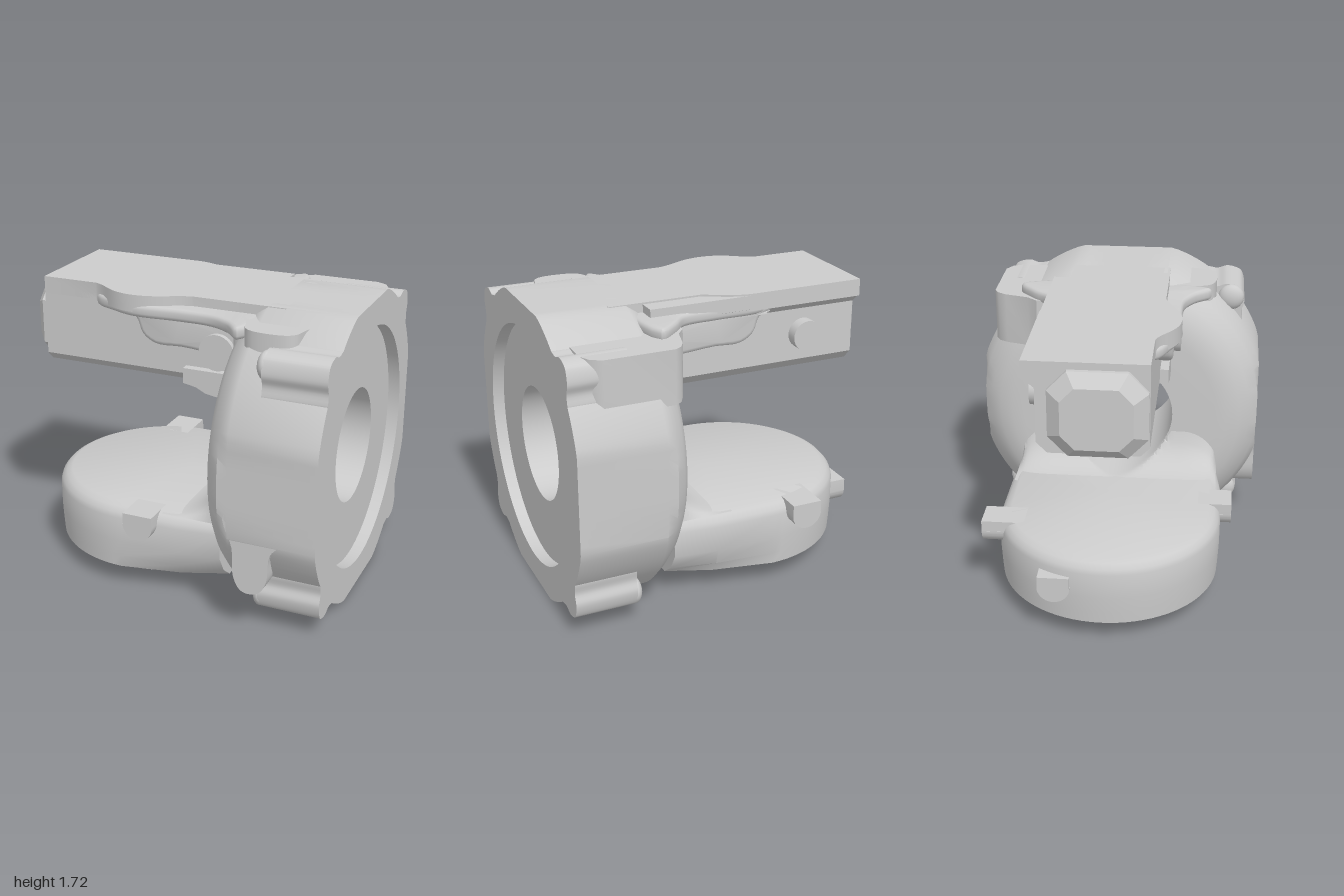
import * as THREE from 'three';
import { toCreasedNormals } from 'three/addons/utils/BufferGeometryUtils.js';

const CY = 0.86; // height of the bore axis
const mat = new THREE.MeshStandardMaterial({ color: 0xcccccc });
const openMat = new THREE.MeshStandardMaterial({ color: 0xcccccc, side: THREE.DoubleSide });

// Skin a list of equal-length closed rings of [x, y, z]
function loft(rings) {
  const n = rings[0].length, pos = rings.flat(2), idx = [];
  for (let j = 0; j < rings.length - 1; j++) {
    for (let i = 0; i < n; i++) {
      const a = j * n + i, b = j * n + (i + 1) % n;
      idx.push(a, a + n, b, b, a + n, b + n);
    }
  }
  const g = new THREE.BufferGeometry();
  g.setAttribute('position', new THREE.Float32BufferAttribute(pos, 3));
  g.setIndex(idx);
  return g;
}

const poly = (pts) => new THREE.Shape(pts.map(([x, y]) => new THREE.Vector2(x, y)));
const smooth = (pts) => new THREE.Shape(
  new THREE.CatmullRomCurve3(pts.map(([x, y]) => new THREE.Vector3(x, y, 0)), true)
    .getPoints(pts.length * 5).slice(0, -1).map((p) => new THREE.Vector2(p.x, p.y)));

const extrude = (shape, depth, bevel = 0) => new THREE.ExtrudeGeometry(shape, {
  depth: depth - 2 * bevel, bevelEnabled: bevel > 0, bevelSize: bevel, bevelThickness: bevel,
  bevelOffset: -bevel, bevelSegments: 3, curveSegments: 20,
}).translate(0, 0, bevel);
// outline in (x, -z), raised from y0 to y1
const plan = (shape, y0, y1, bevel) => extrude(shape, y1 - y0, bevel).rotateX(-Math.PI / 2).translate(0, y0, 0);
// outline in (-z, y), run from x0 to x1
const along = (shape, x0, x1, bevel) => extrude(shape, x1 - x0, bevel).rotateY(Math.PI / 2).translate(x0, 0, 0);

export function createModel() {
  const group = new THREE.Group();
  const add = (name, geo, material = mat, crease = 0.6) => {
    const m = new THREE.Mesh(toCreasedNormals(geo, crease), material);
    m.name = name;
    group.add(m);
    return m;
  };

  // Housing: turned profile clipped to a square, with recess and through bore
  const profile = [[0.31, 0.335], [0.31, 0.6], [0.315, 0.67], [0.34, 0.75], [0.38, 0.81], [0.44, 0.867],
    [0.5, 0.907], [1, 0.907], [1, 0.705], [0.93, 0.705], [0.93, 0.335], [0.31, 0.335]];
  add('housing', loft(profile.map(([x, r]) => Array.from({ length: 120 }, (_, i) => {
    const t = i / 120 * Math.PI * 2, c = Math.cos(t), s = Math.sin(t);
    const q = Math.min(r, 0.86 / Math.max(Math.abs(c), Math.abs(s)));
    return [x, CY + q * s, q * c];
  }))));

  // Four bolt lobes with filleted roots
  const lobe = [[0.74, 0.5], [0.735, 0.58], [0.753, 0.64], [0.735, 0.715], [0.715, 0.735],
    [0.64, 0.753], [0.58, 0.735], [0.5, 0.74], [0.56, 0.56]];
  for (const sz of [-1, 1]) {
    for (const sy of [-1, 1]) {
      const s = smooth(lobe.map(([a, b]) => [a * sz, CY + b * sy]));
      add('boltLobe', along(s, 0.64, 1, 0).translate(0, 0, 0));
      const tip = new THREE.SphereGeometry(0.08, 20, 12).scale(0.6, 1, 1);
      add('boltLobeTip', tip.translate(0.64, CY + 0.67 * sy, 0.67 * sz));
    }
  }

  // Front tab hanging from the flat side
  add('frontTab', extrude(smooth([[0.48, 0.72], [0.53, 0.53], [0.54, 0.36], [0.58, 0.285], [0.63, 0.27],
    [0.69, 0.29], [0.73, 0.36], [0.75, 0.53], [0.82, 0.62], [0.82, 0.75]]), 0.35).translate(0, 0, 0.509));

  // Mounting pads on the shoulders
  add('frontPad', plan(smooth([[0.33, -0.28], [0.33, -0.37], [0.42, -0.42], [0.46, -0.53], [0.52, -0.57],
    [0.7, -0.57], [0.75, -0.53], [0.78, -0.42], [0.83, -0.38], [0.83, -0.28]]), 1.4, 1.665));
  add('backPad', plan(poly([[0.25, 0.42], [0.25, 0.49], [0.3, 0.55], [0.34, 0.69], [0.37, 0.74], [0.41, 0.765],
    [0.81, 0.765], [0.87, 0.73], [0.9, 0.67], [0.9, 0.42]]), 1.3, 1.61));

  // Lower table: half-round plan, rounded upper rim
  const table = [[0.13, 0, 0], [0.13, 0.645, 0.47], [0.2, 0.65, 0.56], [0.3, 0.655, 0.62], [0.45, 0.655, 0.62],
    [0.48, 0.645, 0.61], [0.508, 0.62, 0.59], [0.525, 0.585, 0.56], [0.525, 0, 0]];
  add('lowerTable', loft(table.map(([y, r, e]) => {
    const ring = [[0.36, y, e], [0.1, y, (r + e) / 2 + (r ? 0.015 : 0)]];
    for (let i = 0; i <= 40; i++) {
      const t = Math.PI * (0.5 + i / 40);
      ring.push([-0.26 + r * Math.cos(t), y, r * Math.sin(t)]);
    }
    ring.push([0.1, y, -(r + e) / 2 - (r ? 0.015 : 0)], [0.36, y, -e]);
    return r ? ring : ring.map(() => [-0.1, y, 0]);
  })));
  add('tablePlug', new THREE.CylinderGeometry(0.467, 0.467, 0.12, 48).translate(-0.265, 0.09, 0));

  // Fillet sweeping from the table up to the housing, hollowed by the bore
  const fillet = new THREE.PlaneGeometry(0.34, 1.24, 14, 60).rotateX(-Math.PI / 2).translate(0.17, 0, 0);
  const p = fillet.attributes.position;
  for (let i = 0; i < p.count; i++) {
    const u = THREE.MathUtils.clamp((p.getX(i) - 0.02) / 0.29, 0, 1), z = Math.abs(p.getZ(i));
    const side = Math.sqrt(Math.max(0, 1 - Math.max(0, (z - 0.4) / 0.22) ** 2));
    const rise = 0.518 + 0.25 * (1 - Math.sqrt(1 - u * u)) * side;
    const bore = z < 0.335 ? CY - Math.sqrt(0.335 ** 2 - z * z) : 9;
    p.setY(i, Math.min(rise, bore));
  }
  add('tableFillet', fillet, openMat);

  // Stubs on the table rim, round below and flat on top
  const stub = new THREE.Shape();
  stub.moveTo(0.09, 0.525);
  stub.lineTo(-0.09, 0.525);
  stub.lineTo(-0.09, 0.46);
  stub.absarc(0, 0.46, 0.092, Math.PI, Math.PI * 2, false);
  add('frontStub', extrude(stub, 0.2).translate(-0.11, 0, 0.52));
  add('backStub', extrude(stub, 0.25).translate(-0.43, 0, -0.73));
  add('endStub', extrude(stub, 0.2).rotateY(Math.PI / 2).translate(-0.912, -0.11, -0.26));

  // Upper arm with bevelled lower edges
  add('upperArm', along(poly([[-0.27, 1.25], [-0.22, 1.2], [0.27, 1.2], [0.33, 1.26], [0.33, 1.57],
    [0.4, 1.63], [0.4, 1.71], [-0.27, 1.71]]), -0.91, 0.4));
  add('armRoot', extrude(poly([[0, 1.21], [0.08, 1.195], [0.14, 1.165], [0.2, 1.155], [0.36, 1.155],
    [0.36, 1.3], [0, 1.3]]), 0.12).translate(0, 0, 0.2));

  // Top plate with the bulged front edge
  const plate = new THREE.Shape();
  plate.moveTo(-0.91, -0.27);
  plate.lineTo(-0.57, -0.27);
  plate.bezierCurveTo(-0.47, -0.3, -0.43, -0.4, -0.27, -0.4);
  plate.bezierCurveTo(-0.12, -0.4, -0.05, -0.31, 0.06, -0.295);
  plate.lineTo(0.6, -0.295);
  plate.lineTo(0.6, 0.295);
  plate.lineTo(0.05, 0.295);
  plate.bezierCurveTo(-0.05, 0.35, -0.13, 0.4, -0.23, 0.4);
  plate.lineTo(-0.91, 0.4);
  add('topPlate', plan(plate, 1.62, 1.72));

  // Rounded ledge beneath the plate, flaring into the housing shoulders
  add('armLedge', plan(smooth([[-0.57, -0.26], [-0.42, -0.35], [-0.27, -0.4], [0.0, -0.39], [0.2, -0.4], [0.32, -0.46],
    [0.42, -0.55], [0.5, 0], [0.42, 0.6], [0.3, 0.52], [0.2, 0.42], [0, 0.4], [-0.3, 0.38], [-0.55, 0.2]]),
  1.59, 1.665, 0.025));

  // Side ribs ending in round bosses
  const rib = smooth([[-0.35, 1.6], [-0.28, 1.57], [-0.24, 1.48], [-0.16, 1.43], [0, 1.43], [0.34, 1.43],
    [0.36, 1.52], [0.34, 1.6], [0, 1.61]]);
  add('frontRib', extrude(rib, 0.15, 0.025).translate(0, 0, 0.2));
  add('backRib', extrude(rib, 0.15, 0.025).translate(0, 0, -0.38));
  for (const [name, x, y, r, z] of [['frontBoss', 0.23, 1.44, 0.105, 0.28], ['backBoss', -0.58, 1.42, 0.09, -0.3]]) {
    add(name, new THREE.CylinderGeometry(r, r, 0.2, 28).rotateX(Math.PI / 2).translate(x, y, z));
  }

  // Faceted nub on the arm's end
  const nub = [[-0.9, 0], [-0.9, 1], [-0.935, 1], [-1, 0.72], [-1, 0]];
  const oct = [[0.265, 0.13], [0.16, 0.24], [-0.16, 0.24], [-0.265, 0.13],
    [-0.265, -0.13], [-0.16, -0.24], [0.16, -0.24], [0.265, -0.13]];
  add('endNub', loft(nub.reverse().map(([x, s]) => oct.map(([z, y]) => [x, 1.44 + y * s, z * s]))), mat, 0.3);
  return group;
}
